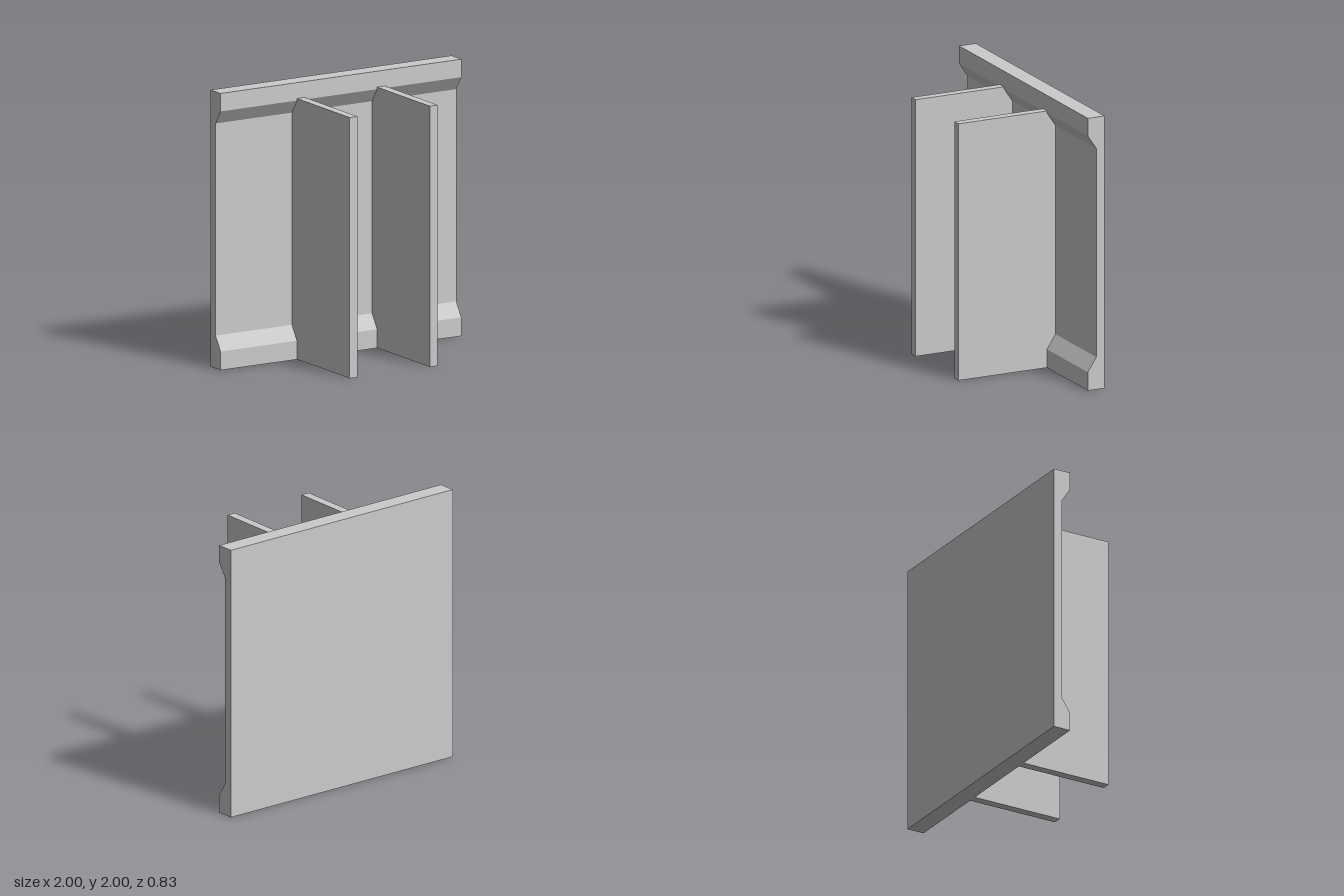
import * as THREE from 'three';

const BACK = -0.415, FRONT = 0.415; // overall depth
const LIP = -0.283, RECESS = -0.35; // front faces of the panel
const RIB_TOP = 1.885;

// Extrudes a side profile of [z, y] points along x, centred on x = 0
function extrudeSide(points, width) {
  const shape = new THREE.Shape(points.map(([z, y]) => new THREE.Vector2(-z, y)));
  const geometry = new THREE.ExtrudeGeometry(shape, { depth: width, bevelEnabled: false });
  geometry.translate(0, 0, -width / 2);
  geometry.rotateY(Math.PI / 2);
  return geometry;
}

export function createModel() {
  const model = new THREE.Group();
  model.name = 'ribbedWallPanel';
  const material = new THREE.MeshStandardMaterial({ color: 0xcccccc, flatShading: true });

  // Front of the panel: thick lips with sloped steps down to a recess
  const steps = [[LIP, 0.135], [RECESS, 0.237], [RECESS, 1.77], [LIP, 1.87]];

  const panel = new THREE.Mesh(
    extrudeSide([[BACK, 0], [LIP, 0], ...steps, [LIP, 2], [BACK, 2]], 2), material);
  panel.name = 'panel';
  model.add(panel);

  // Two upright ribs, cut to fit the panel's front
  const ribGeometry = extrudeSide(
    [[FRONT, 0], [LIP, 0], ...steps, [LIP, RIB_TOP], [FRONT, RIB_TOP]], 0.065);
  for (const side of [-1, 1]) {
    const rib = new THREE.Mesh(ribGeometry, material);
    rib.name = side > 0 ? 'leftRib' : 'rightRib';
    rib.position.x = side * 0.333;
    model.add(rib);
  }
  return model;
}
